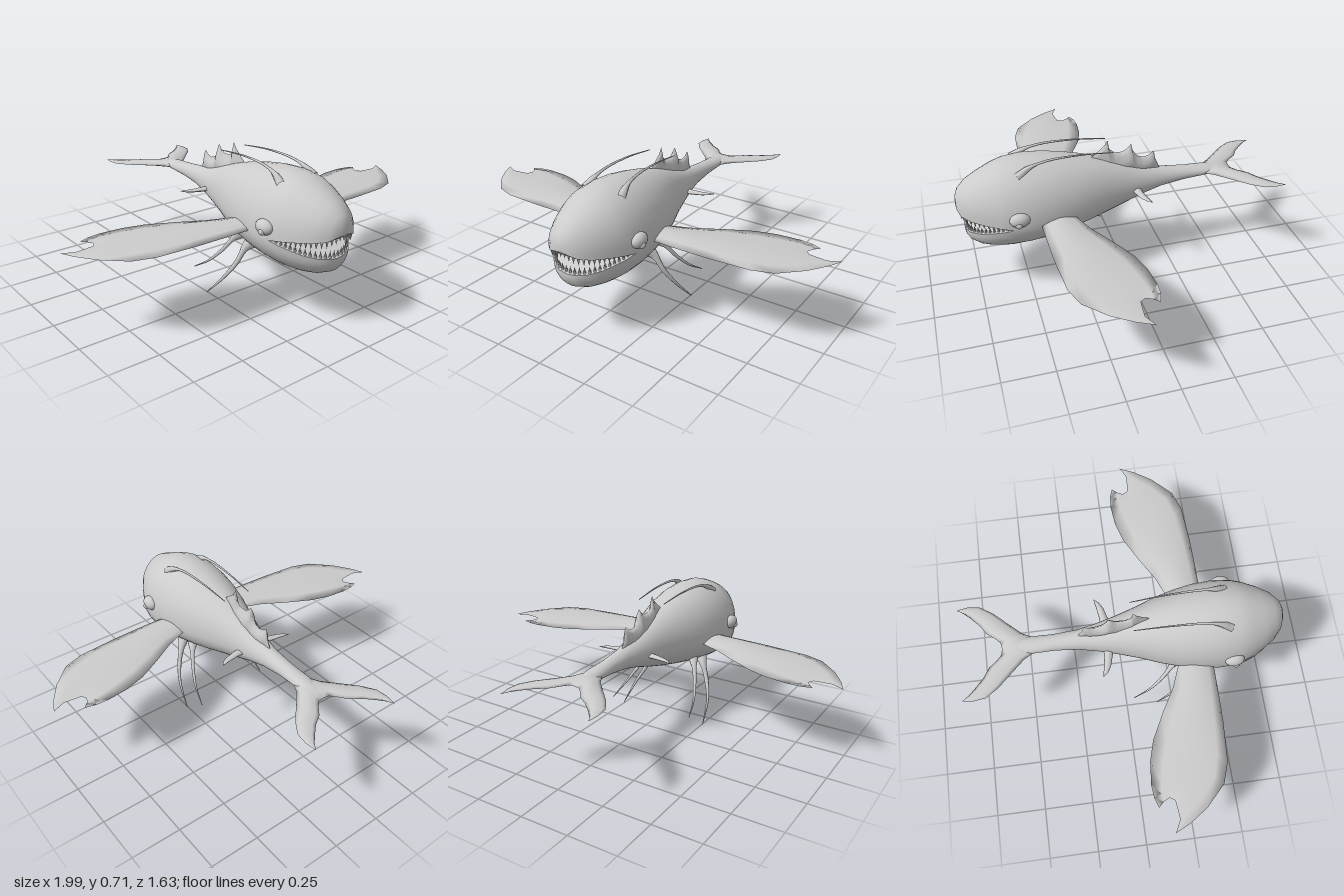
import * as THREE from 'three';
import { mergeGeometries, mergeVertices } from 'three/addons/utils/BufferGeometryUtils.js';

const skin = new THREE.MeshStandardMaterial({ color: 0xcccccc });
const thin = new THREE.MeshStandardMaterial({ color: 0xcccccc, side: THREE.DoubleSide });

// Surface through rows of [x, y, z] points
function sheet(rows) {
  const n = rows[0].length, index = [];
  for (let i = 0; i < rows.length - 1; i++) {
    for (let j = 0; j < n - 1; j++) {
      const a = i * n + j, b = a + 1, c = a + n, d = c + 1;
      index.push(a, c, b, b, c, d);
    }
  }
  const g = new THREE.BufferGeometry();
  g.setAttribute('position', new THREE.Float32BufferAttribute(rows.flat(2), 3));
  g.setIndex(index);
  return g;
}

function finish(geometry) {
  const g = mergeVertices(geometry, 1e-4);
  g.computeVertexNormals();
  return g;
}

function add(parent, name, geometry, material = thin) {
  const mesh = new THREE.Mesh(geometry, material);
  mesh.name = name;
  parent.add(mesh);
  return mesh;
}

// Lens-section fin between two edges; thickness runs along one axis,
// endRow can replace the straight last chord
function fin(edgeA, edgeB, thickness, axis, endRow, n = 6) {
  const last = edgeA.length - 1;
  const mix = (a, b, u) => a.map((v, k) => v + (b[k] - v) * u);
  const rows = edgeA.map((a, i) => {
    const w = Math.pow(i / last, 1.5);
    const mid = [];
    for (let j = 0; j <= n; j++) {
      const p = mix(a, edgeB[i], j / n);
      if (endRow) {
        const chord = mix(edgeA[last], edgeB[last], j / n);
        p.forEach((v, k) => { p[k] = v + w * (endRow[j][k] - chord[k]); });
      }
      mid.push(p);
    }
    const side = (s) => mid.map((p, j) => {
      const q = [...p];
      q[axis] += s * thickness[i] * Math.sin(Math.PI * j / n);
      return q;
    });
    return [...side(1), ...side(-1).reverse().slice(1)];
  });
  return finish(sheet(rows));
}

// Tapered, curved tube: radii are [base, early, tip]
function feeler(points, radii) {
  const curve = new THREE.CatmullRomCurve3(points.map((p) => new THREE.Vector3(...p)));
  const seg = 18, sides = 8;
  const g = new THREE.TubeGeometry(curve, seg, 1, sides);
  const pos = g.attributes.position, v = new THREE.Vector3();
  for (let i = 0; i <= seg; i++) {
    const t = i / seg, c = curve.getPointAt(t);
    const r = t < 0.2 ? THREE.MathUtils.lerp(radii[0], radii[1], t / 0.2)
      : THREE.MathUtils.lerp(radii[1], radii[2], (t - 0.2) / 0.8);
    for (let j = 0; j <= sides; j++) {
      const k = i * (sides + 1) + j;
      v.fromBufferAttribute(pos, k).sub(c).multiplyScalar(r).add(c);
      pos.setXYZ(k, v.x, v.y, v.z);
    }
  }
  return g;
}

// Snout and jaw stations: [z, half width, outer y, lip y]
const snout = [[0.82, 0, 0.5, 0.485], [0.818, 0.035, 0.528, 0.474], [0.803, 0.078, 0.565, 0.46],
  [0.76, 0.125, 0.605, 0.45], [0.7, 0.163, 0.637, 0.442], [0.63, 0.196, 0.668, 0.432]];
const jaw = [[0.79, 0, 0.345, 0.358], [0.787, 0.04, 0.318, 0.362], [0.768, 0.09, 0.29, 0.369],
  [0.72, 0.143, 0.267, 0.384], [0.67, 0.176, 0.257, 0.4], [0.62, 0.2, 0.254, 0.413]];
// Trunk stations: [z, half width, top y, middle y, bottom y]
const trunk = [[0.57, 0.215, 0.688, 0.425, 0.253], [0.48, 0.222, 0.695, 0.43, 0.26],
  [0.38, 0.215, 0.688, 0.435, 0.272], [0.28, 0.195, 0.671, 0.44, 0.29],
  [0.18, 0.165, 0.648, 0.445, 0.31], [0.08, 0.127, 0.618, 0.45, 0.333],
  [-0.02, 0.096, 0.582, 0.455, 0.362], [-0.12, 0.07, 0.546, 0.46, 0.395],
  [-0.22, 0.05, 0.524, 0.465, 0.42], [-0.34, 0.042, 0.51, 0.47, 0.437],
  [-0.46, 0.045, 0.5, 0.472, 0.45], [-0.54, 0.035, 0.49, 0.474, 0.46],
  [-0.6, 0, 0.472, 0.472, 0.472]];
const upper = [...snout, ...trunk.map(([z, w, t, m]) => [z, w, t, m])];
const lower = [...jaw, ...trunk.map(([z, w, , m, b]) => [z, w, b, m])];

function halfShell(stations, start) {
  return sheet(stations.map(([z, w, y, lip]) => Array.from({ length: 19 }, (_, j) => {
    const a = start + Math.PI * j / 18;
    return [w * Math.cos(a), lip + Math.abs(y - lip) * Math.sin(a), z];
  })));
}

// Row of teeth along a lip; dir is 1 for up, -1 for down
function teeth(parent, name, stations, dir, count) {
  const side = stations.slice(0, 7).map(([z, w, , lip]) => [w * 0.94, lip, z - 0.012]);
  const arc = [...side.slice(1).reverse(), ...side.map(([x, y, z]) => [-x, y, z])];
  const curve = new THREE.CatmullRomCurve3(arc.map((p) => new THREE.Vector3(...p)));
  const cones = [];
  for (let i = 0; i < count; i++) {
    const u = 0.03 + 0.94 * i / (count - 1);
    const p = curve.getPointAt(u);
    const h = 0.022 + 0.022 * Math.sin(Math.PI * u);
    const cone = new THREE.ConeGeometry(0.0095, h, 6);
    if (dir < 0) cone.rotateX(Math.PI);
    cones.push(cone.translate(p.x, p.y + dir * (h / 2 - 0.006), p.z));
  }
  add(parent, name, mergeGeometries(cones), skin);
}

// Parts found on each side, made for +x
function buildSide() {
  const side = new THREE.Group();

  const brow = add(side, 'eyeSocket', new THREE.SphereGeometry(1, 16, 12), skin);
  brow.position.set(0.21, 0.478, 0.54);
  brow.scale.set(0.034, 0.036, 0.05);
  const eye = add(side, 'eye', new THREE.SphereGeometry(0.018, 14, 10), skin);
  eye.position.set(0.231, 0.464, 0.548);

  // Broad pectoral fin with a notched tip
  const flat = (y0, y1) => ([x, z], i, all) => [x, y0 + (y1 - y0) * i / (all.length - 1), z];
  const lead = [[0.15, 0.44], [0.35, 0.44], [0.5, 0.437], [0.7, 0.423], [0.8, 0.388],
    [0.9, 0.29], [0.96, 0.2], [0.995, 0.125]].map(flat(0.43, 0.42));
  const trail = [[0.15, 0.28], [0.3, 0.22], [0.42, 0.15], [0.55, 0.083], [0.65, 0.054],
    [0.76, 0.043], [0.82, 0.048], [0.87, 0.065]].map(flat(0.43, 0.42));
  const notch = [[0.995, 0.125], [0.935, 0.155], [0.885, 0.15], [0.845, 0.145],
    [0.83, 0.12], [0.845, 0.09], [0.87, 0.065]].map(([x, z]) => [x, 0.42, z]);
  add(side, 'pectoralFin', fin(lead, trail,
    [0.025, 0.023, 0.021, 0.017, 0.014, 0.01, 0.006, 0.001], 1, notch));

  // Small rear fin
  add(side, 'pelvicFin', fin(
    [[0.03, 0.455, -0.04], [0.1, 0.455, -0.055], [0.16, 0.456, -0.072], [0.19, 0.457, -0.09], [0.21, 0.458, -0.114]],
    [[0.03, 0.455, -0.1], [0.1, 0.455, -0.098], [0.15, 0.456, -0.105], [0.185, 0.457, -0.112], [0.21, 0.458, -0.116]],
    [0.014, 0.012, 0.008, 0.005, 0.001], 1));

  // Tail fluke
  const outer = [[0, -0.4], [0.046, -0.45], [0.07, -0.495], [0.13, -0.56], [0.2, -0.635],
    [0.243, -0.7], [0.25, -0.76], [0.242, -0.815]].map(flat(0.474, 0.46));
  const inner = [[0, -0.6], [0.03, -0.605], [0.055, -0.628], [0.09, -0.672], [0.14, -0.705],
    [0.19, -0.752], [0.218, -0.782], [0.24, -0.815]].map(flat(0.474, 0.46));
  add(side, 'tailFluke', fin(outer, inner,
    [0.02, 0.018, 0.016, 0.013, 0.01, 0.007, 0.004, 0.001], 1));

  // Hanging feelers and the long head whisker
  add(side, 'frontFeeler', feeler([[0.12, 0.33, 0.365], [0.15, 0.295, 0.34], [0.19, 0.21, 0.315],
    [0.23, 0.12, 0.26], [0.254, 0.015, 0.165]], [0.036, 0.014, 0.002]));
  add(side, 'rearFeeler', feeler([[0.12, 0.35, 0.28], [0.145, 0.315, 0.25], [0.18, 0.24, 0.2],
    [0.215, 0.165, 0.13], [0.238, 0.105, 0.04]], [0.034, 0.012, 0.002]));
  add(side, 'headWhisker', feeler([[0.1, 0.645, 0.52], [0.092, 0.682, 0.465], [0.086, 0.703, 0.38],
    [0.08, 0.706, 0.22], [0.073, 0.69, 0.05]], [0.024, 0.007, 0.002]));
  return side;
}

export function createModel() {
  const model = new THREE.Group();
  model.name = 'deepSeaFish';

  // Body: upper and lower shells, welded behind the mouth
  add(model, 'body', finish(mergeGeometries(
    [halfShell(upper, 0), halfShell(lower, Math.PI)])));
  const lining = (stations) => finish(sheet(stations.slice(0, 7).map(
    ([z, w, , lip]) => [-1, 0, 1].map((s) => [s * w, lip, z]))));
  add(model, 'palate', lining(upper));
  add(model, 'mouthFloor', lining(lower));
  teeth(model, 'upperTeeth', upper, -1, 30);
  teeth(model, 'lowerTeeth', lower, 1, 28);

  // Spiked dorsal fin
  const crest = [[0.16, 0.62], [0.11, 0.66], [0.075, 0.69], [0.056, 0.72], [0.05, 0.67], [0.02, 0.645],
    [-0.02, 0.645], [-0.045, 0.66], [-0.064, 0.682], [-0.072, 0.645], [-0.095, 0.61], [-0.13, 0.597],
    [-0.16, 0.605], [-0.183, 0.625], [-0.192, 0.58], [-0.215, 0.525]];
  add(model, 'dorsalFin', fin(crest.map(([z]) => [0, 0.5, z]), crest.map(([z, y]) => [0, y, z]),
    crest.map((_, i) => 0.004 + 0.024 * Math.sin(Math.PI * i / 15)), 0));

  const left = buildSide();
  left.name = 'leftSide';
  const right = buildSide();
  right.name = 'rightSide';
  right.scale.x = -1;
  model.add(left, right);
  return model;
}
